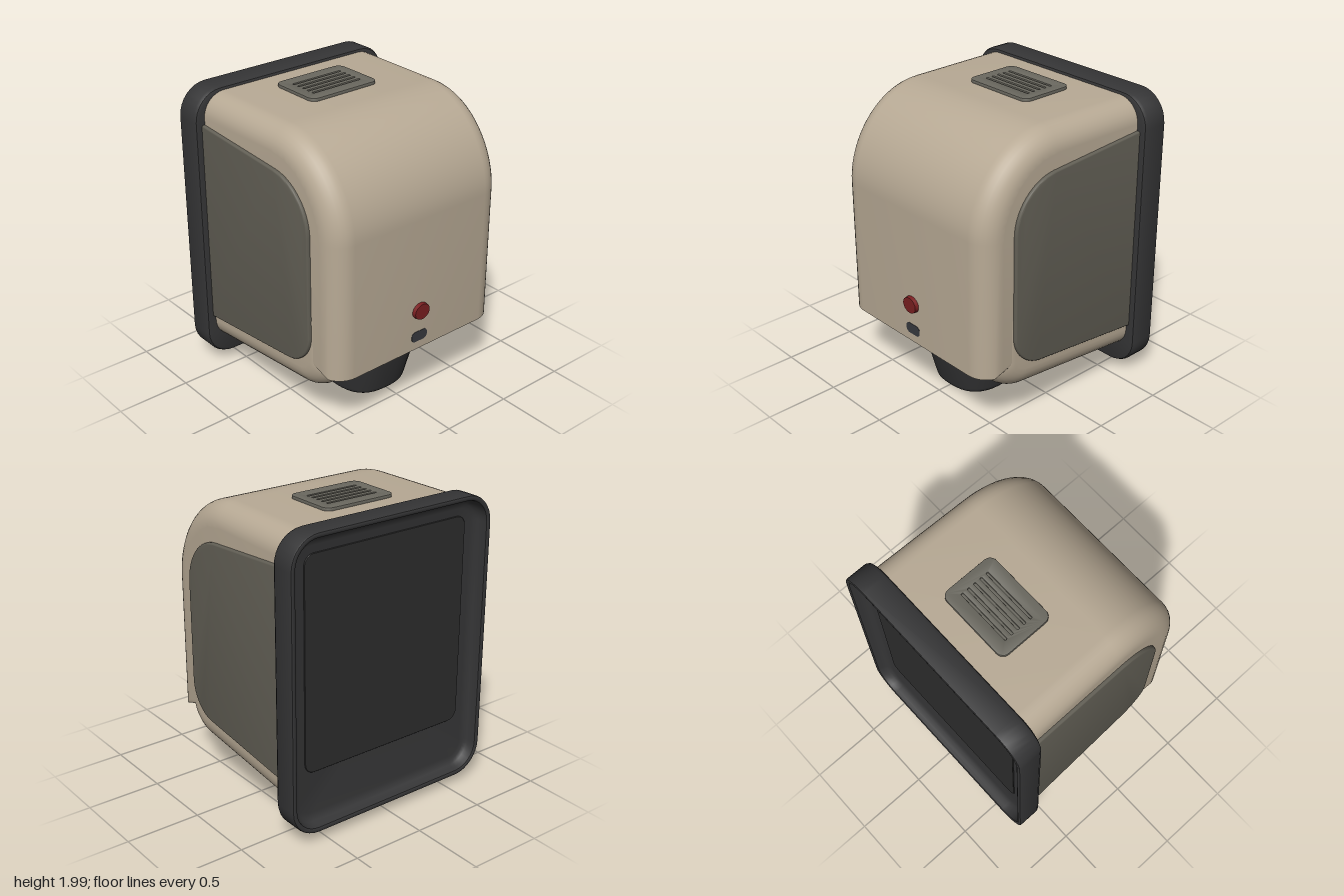
import * as THREE from 'three';
import { toCreasedNormals } from 'three/addons/utils/BufferGeometryUtils.js';

const mat = (name, color) => {
  const m = new THREE.MeshStandardMaterial({ color });
  m.name = name;
  return m;
};

// polygon from [x, y, cornerRadius] points
function roundedPoly(pts, Type = THREE.Shape) {
  const s = new Type(), n = pts.length, v = pts.map(p => new THREE.Vector2(p[0], p[1]));
  v.forEach((p, i) => {
    const r = pts[i][2] || 0;
    const toward = q => q.clone().sub(p).normalize().multiplyScalar(r).add(p);
    const a = toward(v[(i + n - 1) % n]), b = toward(v[(i + 1) % n]);
    i ? s.lineTo(a.x, a.y) : s.moveTo(a.x, a.y);
    if (r) s.bezierCurveTo(a.x + (p.x - a.x) * 0.55, a.y + (p.y - a.y) * 0.55,
      b.x + (p.x - b.x) * 0.55, b.y + (p.y - b.y) * 0.55, b.x, b.y);
  });
  s.closePath();
  return s;
}
const roundedRect = (x0, y0, x1, y1, r, Type) =>
  roundedPoly([[x0, y0, r], [x1, y0, r], [x1, y1, r], [x0, y1, r]], Type);

// extrusion centred on its depth, with the bevel kept inside the outline
function slab(shape, depth, bevel, segments = 3, curveSegments = 10) {
  const g = new THREE.ExtrudeGeometry(shape, {
    depth: depth - 2 * bevel, bevelEnabled: bevel > 0, bevelSize: bevel, bevelThickness: bevel,
    bevelOffset: -bevel, bevelSegments: segments, curveSegments,
  });
  return g.translate(0, 0, -(depth - 2 * bevel) / 2);
}

// turn a (z, y) profile to run across the width, then reshape it by a rule
function across(g, rule = () => {}) {
  g.rotateY(-Math.PI / 2);
  const p = g.attributes.position, v = new THREE.Vector3();
  for (let i = 0; i < p.count; i++) {
    v.fromBufferAttribute(p, i);
    rule(v);
    v.z = Math.max(v.z, -0.6);
    v.x *= 1 - 0.036 * (v.z + 0.54) / 1.24; // slightly narrower at the front
    p.setXYZ(i, v.x, v.y, v.z);
  }
  return g;
}

// rounded-rectangle loops, each given as [inset, z], joined from front to back
function dish(halfW, halfH, radius, loops, arc = 8) {
  const pos = [], index = [], n = 4 * (arc + 1);
  loops.forEach(([inset, z], k) => {
    const r = Math.max(radius - inset, 0.01), w = halfW - inset - r, h = halfH - inset - r;
    for (let i = 0; i < n; i++) {
      const q = Math.floor(i / (arc + 1)), t = (q + (i % (arc + 1)) / arc) * Math.PI / 2;
      pos.push((q === 0 || q === 3 ? w : -w) + r * Math.cos(t), (q < 2 ? h : -h) + r * Math.sin(t), z);
      if (k) {
        const a = (k - 1) * n + i, b = (k - 1) * n + (i + 1) % n;
        index.push(a, a + n, b, b, a + n, b + n);
      }
    }
  });
  const g = new THREE.BufferGeometry();
  g.setAttribute('position', new THREE.Float32BufferAttribute(pos, 3));
  g.setIndex(index);
  return g;
}

export function createModel() {
  const group = new THREE.Group();
  const tan = mat('tan shell', 0xb8aa95);
  const grey = mat('warm grey panel', 0x625f55);
  const ventGrey = mat('vent grey', 0x6b6960);
  const dark = mat('charcoal', 0x353536);
  const black = mat('dark back panel', 0x2d2d2d);
  const windowDark = mat('sensor dark', 0x383a3f);
  const red = mat('red button', 0x7a1f21);
  const add = (name, geo, material, x = 0, y = 0, z = 0, crease = 0.6) => {
    const m = new THREE.Mesh(toCreasedNormals(geo, crease), material);
    m.name = name;
    m.position.set(x, y, z);
    group.add(m);
  };

  // cover: domed profile with rounded side edges, cut flat at its lower lip and slanted up at the sides
  const cover = new THREE.Shape();
  cover.moveTo(-0.9, 0.2);
  cover.lineTo(0.7, 0.2);
  cover.lineTo(0.7, 1.38);
  cover.bezierCurveTo(0.7, 1.66, 0.47, 1.975, 0.13, 1.975);
  cover.lineTo(-0.9, 1.975);
  cover.closePath();
  add('cover', across(slab(cover, 1.4, 0.15, 8, 24), v => {
    v.y = Math.max(v.y, 0.468 + Math.min(Math.max(0.6 - v.z, 0), 0.4));
  }), tan);

  // lower housing, set back behind the lip
  const housing = o => {
    const s = new THREE.Shape();
    s.moveTo(-0.9, 0.208 - o);
    s.lineTo(-0.6, 0.208 - o);
    s.lineTo(0.36, 0.292 - o);
    s.bezierCurveTo(0.48 + o, 0.3 - o, 0.6 + o, 0.4 - o, 0.6 + o, 0.52);
    s.lineTo(0.6 + o, 0.95);
    s.lineTo(-0.9, 0.95);
    s.closePath();
    return s;
  };
  add('lowerHousing', across(slab(housing(0), 1.406, 0.15, 8, 16)), tan);
  add('undersidePanel', across(slab(housing(0.005), 0.98, 0, 1, 16)), grey);

  // side panels
  const panel = roundedPoly([[-0.58, 0.398], [0.47, 0.495, 0.21], [0.47, 1.7, 0.31], [-0.58, 1.785]]);
  for (const side of [1, -1]) {
    const g = slab(panel, 0.06, 0.012, 3, 14).translate(0, 0, -side * 0.693);
    add(side > 0 ? 'leftSidePanel' : 'rightSidePanel', across(g), grey);
  }

  // wall plate with a hollowed back, and the panel set into the hollow
  add('wallPlate', dish(0.768, 0.9625, 0.2, [
    [0.3, -0.54], [0.03, -0.54], [0.01, -0.548], [0, -0.568], [0, -0.708], [0.004, -0.717], [0.012, -0.72],
    [0.024, -0.72], [0.032, -0.715], [0.038, -0.69], [0.05, -0.66], [0.07, -0.644], [0.1, -0.638], [0.767, -0.638],
  ]), dark, 0, 1.0375, 0);
  add('backPanel', slab(roundedRect(-0.62, 0.455, 0.62, 1.855, 0.07), 0.009, 0.003, 1), black, 0, 0, -0.64);

  // outlet: tapered squarish cup with a tilted base
  const cup = new THREE.LatheGeometry(
    [[0, 0.015], [0.68, 0.003], [0.75, 0.005], [0.79, 0.018], [0.81, 0.04], [0.99, 0.3], [1.05, 0.4]]
      .map(p => new THREE.Vector2(...p)), 48);
  const p = cup.attributes.position, n = 2.6;
  for (let i = 0; i < p.count; i++) {
    const x = p.getX(i), y = p.getY(i), z = p.getZ(i), r = Math.hypot(x, z);
    const k = r ? (Math.abs(x / r) ** n + Math.abs(z / r) ** n) ** (-1 / n) : 0;
    const wz = z * k * 0.355;
    p.setXYZ(i, x * k * 0.33, y + 0.07 * (0.28 - wz) * (1 - y / 0.4), wz);
  }
  add('outlet', cup, dark, 0, 0, 0.13, 0.7);

  // front button and sensor window
  const button = new THREE.CylinderGeometry(0.06, 0.066, 0.05, 28).rotateX(Math.PI / 2).scale(1, 0.88, 1);
  add('button', button, red, 0, 0.745, 0.7);
  add('sensorWindow', slab(roundedRect(-0.065, -0.036, 0.065, 0.036, 0.03), 0.008, 0), windowDark, 0, 0.56, 0.698);

  // slotted vent on the top
  const vent = roundedRect(-0.262, -0.19, 0.262, 0.19, 0.05);
  for (let i = -2; i <= 2; i++) {
    vent.holes.push(roundedRect(-0.19, i * 0.048 - 0.008, 0.19, i * 0.048 + 0.008, 0.007, THREE.Path));
  }
  add('vent', slab(vent, 0.03, 0.003, 2, 6).rotateX(-Math.PI / 2), ventGrey, 0, 1.98, -0.203);
  add('ventFloor', new THREE.BoxGeometry(0.42, 0.008, 0.28), ventGrey, 0, 1.98, -0.203);

  return group;
}
